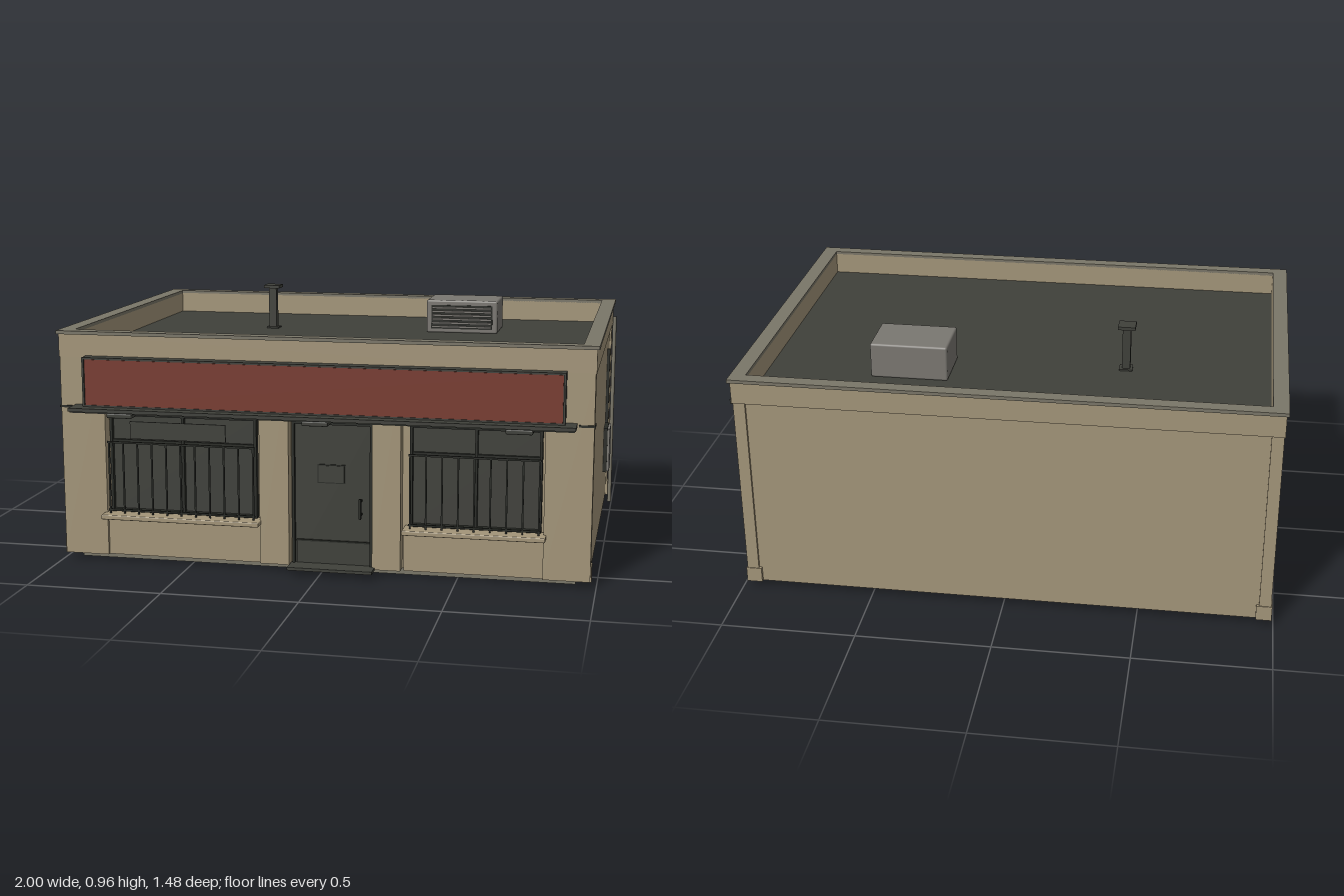
import * as THREE from 'three';
import { RoundedBoxGeometry } from 'three/addons/geometries/RoundedBoxGeometry.js';

const paint = (name, color) => {
  const m = new THREE.MeshStandardMaterial({ color });
  m.name = name;
  return m;
};

export function createModel() {
  const stucco = paint('stucco', 0xa39579);
  const concrete = paint('concrete', 0x7a7668);
  const metal = paint('metal', 0x7a7771);
  const dark = paint('dark', 0x3f403a);
  const black = paint('black', 0x282a25);
  const red = paint('red', 0x773a2e);

  const model = new THREE.Group();
  model.name = 'shop';

  // Box given by its limits on each axis
  const box = (name, mat, [x0, x1], [y0, y1], [z0, z1], parent = model, round = 0) => {
    const size = [x1 - x0, y1 - y0, z1 - z0];
    const geo = round ? new RoundedBoxGeometry(...size, 2, round) : new THREE.BoxGeometry(...size);
    const mesh = new THREE.Mesh(geo, mat);
    mesh.name = name;
    mesh.position.set((x0 + x1) / 2, (y0 + y1) / 2, (z0 + z1) / 2);
    parent.add(mesh);
    return mesh;
  };
  const group = (name) => {
    const g = new THREE.Group();
    g.name = name;
    model.add(g);
    return g;
  };
  // Rectangular ring with a hole, lying flat
  const ring = (name, mat, [ox0, ox1], [oz0, oz1], [ix0, ix1], [iz0, iz1], y0, y1) => {
    const rect = (P, x0, x1, z0, z1) => new P([[x0, -z1], [x1, -z1], [x1, -z0], [x0, -z0]]
      .map(([x, y]) => new THREE.Vector2(x, y)));
    const shape = rect(THREE.Shape, ox0, ox1, oz0, oz1);
    shape.holes.push(rect(THREE.Path, ix0, ix1, iz0, iz1));
    const geo = new THREE.ExtrudeGeometry(shape, { depth: y1 - y0, bevelEnabled: false });
    geo.rotateX(-Math.PI / 2);
    geo.translate(0, y0, 0);
    const mesh = new THREE.Mesh(geo, mat);
    mesh.name = name;
    model.add(mesh);
  };

  // Main body, plinth, roof and parapet
  box('plinth', concrete, [-0.94, 0.925], [0, 0.03], [-0.67, 0.6]);
  box('walls', stucco, [-0.982, 0.972], [0.025, 0.776], [-0.717, 0.605]);
  box('roof', dark, [-0.95, 0.94], [0.77, 0.78], [-0.7, 0.615]);
  ring('parapet', stucco, [-0.992, 0.982], [-0.733, 0.65], [-0.943, 0.933], [-0.693, 0.608], 0.775, 0.862);
  ring('coping', concrete, [-1, 0.99], [-0.745, 0.657], [-0.943, 0.933], [-0.693, 0.608], 0.86, 0.873);

  // Rear corner pilasters with base blocks
  for (const s of [-1, 1]) {
    const at = (a, b) => [s * a - 0.005, s * b - 0.005].sort((p, q) => p - q);
    box('cornerPilaster', stucco, at(0.94, 0.984), [0.025, 0.776], [-0.727, -0.672]);
    box('cornerBase', stucco, at(0.93, 0.988), [0.025, 0.083], [-0.73, -0.672]);
    box('frontCornerBase', stucco, at(0.93, 0.988), [0.025, 0.083], [0.602, 0.645]);
    box('stringCourse', black, at(0.93, 0.988), [0.585, 0.593], [0.6, 0.654]);
  }

  // Front facade: piers, head band and walls below the windows
  for (const x of [[-0.989, -0.82], [-0.23, -0.12], [0.19, 0.295], [0.81, 0.979]])
    box('frontPier', stucco, x, [0.025, 0.776], [0.6, 0.65]);
  box('headBand', stucco, [-0.83, 0.82], [0.572, 0.776], [0.6, 0.647]);

  // Windows with frames, mullion, sill and guard bars
  const makeWindow = (x0, x1, mid) => {
    const g = group('window');
    const x = [x0, x1];
    box('apronWall', stucco, [x0 - 0.02, x1 + 0.02], [0.025, 0.175], [0.6, 0.638], g);
    box('sill', stucco, [x0 - 0.02, x1 + 0.02], [0.172, 0.19], [0.61, 0.695], g, 0.004);
    box('glass', dark, x, [0.19, 0.565], [0.604, 0.613], g);
    box('frameTop', black, x, [0.556, 0.572], [0.604, 0.63], g);
    box('frameBottom', black, x, [0.19, 0.2], [0.604, 0.63], g);
    box('transom', black, x, [0.458, 0.466], [0.604, 0.625], g);
    for (const p of [x0 + 0.005, mid, x1 - 0.005])
      box('framePost', black, [p - 0.005, p + 0.005], [0.19, 0.57], [0.604, 0.63], g);
    for (const y of [0.2, 0.458])
      box('guardRail', black, x, [y, y + 0.007], [0.656, 0.663], g);
    const n = Math.round((x1 - x0) / 0.056);
    for (let i = 0; i <= n; i++) {
      const p = x0 + 0.006 + (x1 - x0 - 0.012) * i / n;
      box('guardBar', black, [p - 0.003, p + 0.003], [0.19, 0.465], [0.657, 0.662], g);
    }
  };
  makeWindow(-0.81, -0.245, -0.527);
  makeWindow(0.325, 0.8, 0.565);
  box('windowPanel', dark, [-0.715, -0.35], [0.48, 0.545], [0.667, 0.673]);

  // Door with frame, notice, kick plate, handle and step
  const door = group('door');
  box('doorLeaf', dark, [-0.1, 0.185], [0.025, 0.56], [0.604, 0.625], door);
  box('doorFrameTop', black, [-0.11, 0.19], [0.555, 0.573], [0.604, 0.64], door);
  for (const x of [-0.11, 0.18])
    box('doorFrameSide', black, [x, x + 0.01], [0.025, 0.57], [0.604, 0.64], door);
  box('kickPlate', dark, [-0.095, 0.178], [0.03, 0.115], [0.624, 0.632], door);
  box('kickPlateEdge', black, [-0.095, 0.178], [0.115, 0.121], [0.624, 0.633], door);
  box('noticeEdge', black, [-0.016, 0.088], [0.336, 0.406], [0.624, 0.629], door);
  box('notice', dark, [-0.012, 0.084], [0.34, 0.402], [0.624, 0.631], door);
  box('handle', black, [0.144, 0.152], [0.215, 0.29], [0.655, 0.665], door);
  for (const y of [0.225, 0.275])
    box('handleMount', black, [0.145, 0.151], [y, y + 0.006], [0.624, 0.657], door);
  box('step', dark, [-0.115, 0.2], [0.022, 0.033], [0.6, 0.707], door);
  for (const x of [-0.11, 0.18])
    box('stepFoot', black, [x, x + 0.015], [0.014, 0.024], [0.62, 0.65], door);

  // Sign box, canopy ledge and lamps
  const sign = group('sign');
  box('signBox', dark, [-0.887, 0.88], [0.595, 0.782], [0.645, 0.688], sign);
  box('signFace', red, [-0.878, 0.871], [0.604, 0.774], [0.686, 0.692], sign);
  for (const y of [0.598, 0.775])
    box('signRim', dark, [-0.887, 0.88], [y, y + 0.007], [0.686, 0.696], sign);
  for (const x of [-0.887, 0.873])
    box('signRim', dark, [x, x + 0.007], [0.598, 0.782], [0.686, 0.696], sign);
  box('ledge', dark, [-0.93, 0.92], [0.586, 0.599], [0.645, 0.738], sign);
  box('ledgeLip', dark, [-0.925, 0.915], [0.581, 0.588], [0.66, 0.73], sign);
  for (const x of [-0.735, -0.003, 0.725])
    box('lamp', dark, [x - 0.048, x + 0.048], [0.566, 0.584], [0.68, 0.732], sign, 0.005);

  // Rooftop cooling unit with louvres on its front
  const unit = group('coolingUnit');
  box('unitBody', metal, [0.245, 0.535], [0.778, 0.912], [-0.445, -0.238], unit, 0.008);
  box('louvrePanel', black, [0.265, 0.515], [0.795, 0.892], [-0.239, -0.235], unit);
  for (let i = 0; i < 6; i++)
    box('louvre', metal, [0.268, 0.512], [0.8 + i * 0.0155, 0.808 + i * 0.0155], [-0.237, -0.228], unit);

  // Roof vent
  const vent = group('roofVent');
  box('ventFlange', dark, [-0.425, -0.375], [0.778, 0.786], [-0.265, -0.215], vent);
  box('ventPipe', dark, [-0.416, -0.385], [0.78, 0.95], [-0.254, -0.224], vent);
  box('ventCap', dark, [-0.433, -0.368], [0.948, 0.96], [-0.272, -0.208], vent);

  // Utility box and conduit on the left wall
  const meter = group('utilityBox');
  box('boxEdge', black, [0.97, 0.988], [0.203, 0.388], [-0.458, -0.328], meter);
  box('boxDoor', metal, [0.975, 0.997], [0.207, 0.384], [-0.454, -0.332], meter);
  box('conduit', black, [0.97, 0.984], [0.385, 0.7], [-0.457, -0.449], meter);

  // Downpipe and roof drain outlet
  const pipe = new THREE.Mesh(new THREE.CylinderGeometry(0.008, 0.008, 0.81, 12), concrete);
  pipe.name = 'downpipe';
  pipe.position.set(0.991, 0.405, -0.652);
  model.add(pipe);
  box('drainOutlet', dark, [0.965, 0.998], [0.758, 0.776], [-0.702, -0.67]);

  return model;
}
